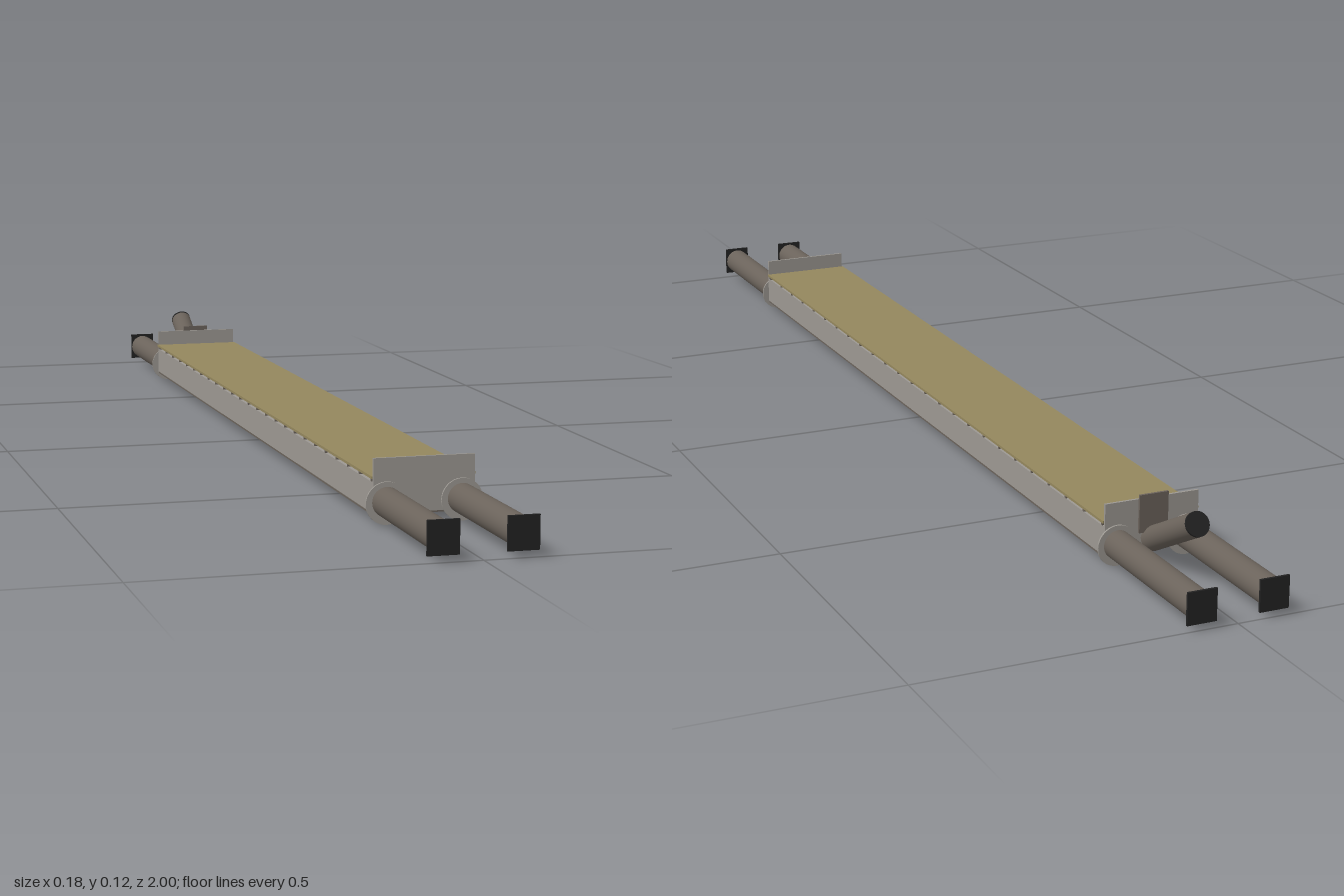
import * as THREE from 'three';

const mat = (name, color, side = THREE.FrontSide) => {
  const m = new THREE.MeshStandardMaterial({ color, side });
  m.name = name;
  return m;
};

export function createModel() {
  const group = new THREE.Group();
  const grey = mat('light grey metal', 0x9c9892);
  const brown = mat('brown grey metal', 0x6b635b);
  const tan = mat('tan deck', 0x94875d);
  const black = mat('black rubber', 0x222222);

  const add = (name, geo, material, x, y, z, parent = group) => {
    const m = new THREE.Mesh(geo, material);
    m.name = name;
    m.position.set(x, y, z);
    parent.add(m);
    return m;
  };
  const box = (name, w, h, d, material, x, y, z, parent) =>
    add(name, new THREE.BoxGeometry(w, h, d), material, x, y, z, parent);
  // Cylinder whose axis runs along z
  const rod = (name, r, length, material, x, y, z, parent) =>
    add(name, new THREE.CylinderGeometry(r, r, length, 32).rotateX(Math.PI / 2), material, x, y, z, parent);

  // Long body: grey sides with a brown underside
  box('body', 0.156, 0.046, 1.476, grey, 0, 0.041, 0);
  box('underside', 0.156, 0.003, 1.476, brown, 0, 0.0165, 0);

  // Thin deck raised on narrow cross supports
  box('deck', 0.16, 0.004, 1.476, tan, 0, 0.071, 0);
  for (let i = 0; i <= 24; i++) {
    box('deckSupport', 0.156, 0.005, 0.004, brown, 0, 0.0665, -0.73 + i * 1.46 / 24);
  }

  for (const end of [1, -1]) {
    // Upright plate closing each end
    box('endPlate', 0.156, 0.082, 0.004, grey, 0, 0.059, end * 0.739);
    for (const side of [1, -1]) {
      const x = side * 0.058;
      rod('flange', 0.032, 0.003, grey, x, 0.033, end * 0.7425);
      rod('bufferTube', 0.0225, 0.252, brown, x, 0.035, end * 0.87);
      box('bufferPad', 0.047, 0.05, 0.004, black, x, 0.036, end * 0.998);
    }
  }

  // Rear mounting bracket
  box('bracket', 0.048, 0.06, 0.004, brown, 0, 0.078, -0.745);

  // Tilted rear tube with a dark cap
  const tilted = new THREE.Group();
  tilted.name = 'tiltedTube';
  tilted.position.set(0, 0.035, -0.744);
  tilted.rotation.x = 0.49;
  rod('tube', 0.019, 0.148, brown, 0, 0, -0.074, tilted);
  rod('tubeCap', 0.019, 0.004, black, 0, 0, -0.15, tilted);
  group.add(tilted);

  return group;
}
